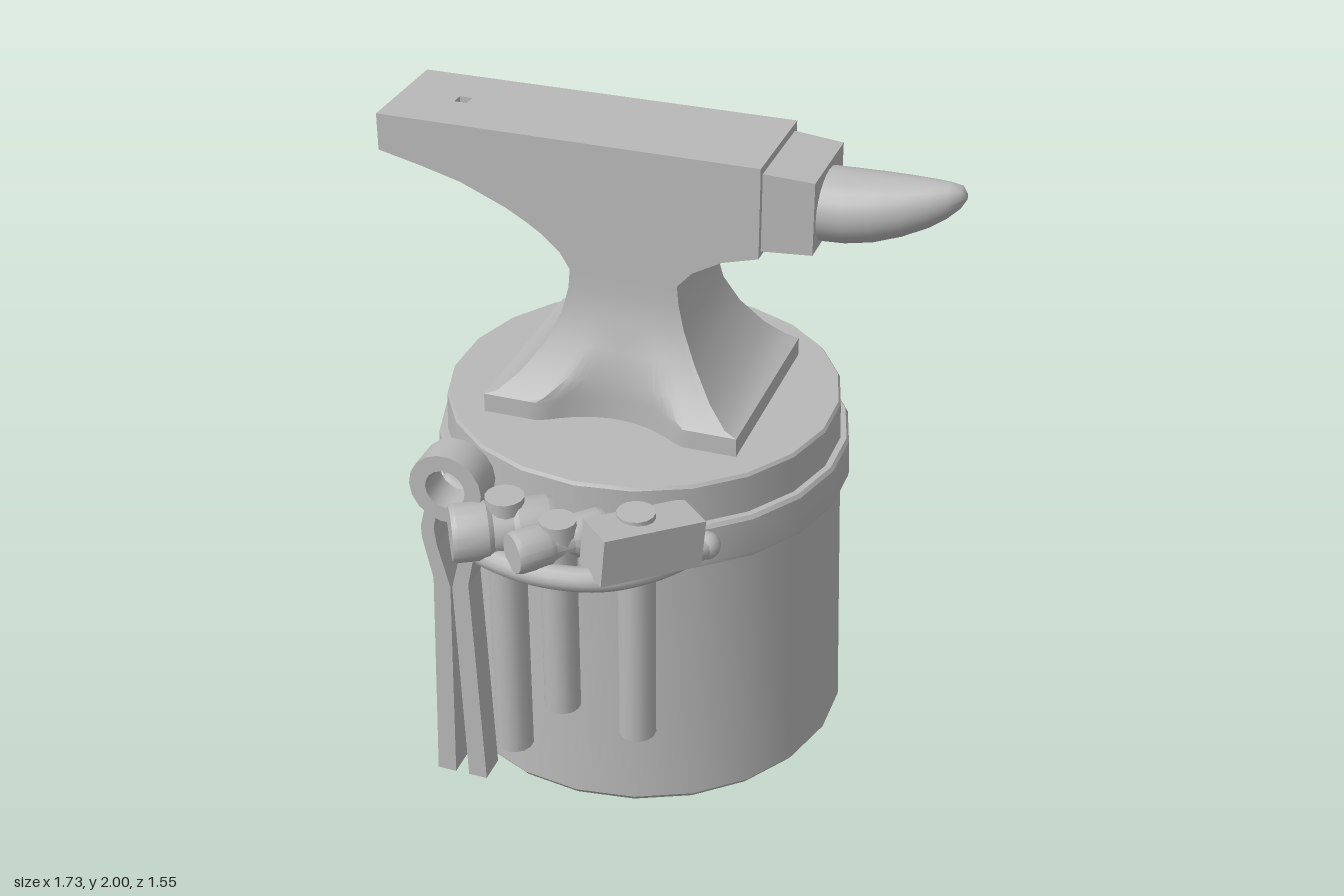
import * as THREE from 'three';
import { toCreasedNormals } from 'three/addons/utils/BufferGeometryUtils.js';

const V = (x, y, z) => new THREE.Vector3(x, y, z);

// Skin over cross-sections (counter-clockwise seen from the end), closed at both ends
function loft(rings, crease = 0.6) {
  const n = rings[0].length, pos = [], idx = [];
  rings.forEach(r => r.forEach(p => pos.push(p.x, p.y, p.z)));
  for (let j = 0; j < rings.length - 1; j++) {
    for (let i = 0; i < n; i++) {
      const a = j * n + i, b = j * n + (i + 1) % n;
      idx.push(a, b, b + n, a, b + n, a + n);
    }
  }
  [0, rings.length - 1].forEach(j => {
    const c = rings[j].reduce((s, p) => s.add(p), V(0, 0, 0)).divideScalar(n);
    const k = pos.length / 3;
    pos.push(c.x, c.y, c.z);
    for (let i = 0; i < n; i++) {
      const a = j * n + i, b = j * n + (i + 1) % n;
      if (j) idx.push(k, a, b); else idx.push(k, b, a);
    }
  });
  const g = new THREE.BufferGeometry();
  g.setAttribute('position', new THREE.Float32BufferAttribute(pos, 3));
  g.setIndex(idx);
  return toCreasedNormals(g, crease);
}

export function createModel() {
  const model = new THREE.Group();
  model.name = 'anvilOnStump';
  const iron = new THREE.MeshStandardMaterial({ color: 0xb8b8b8 });
  iron.name = 'plainGrey';
  const CX = -0.1, CZ = -0.13;

  const add = (name, geo, x = 0, y = 0, z = 0, parent = model) => {
    const m = new THREE.Mesh(geo, iron);
    m.name = name;
    m.position.set(x, y, z);
    parent.add(m);
    return m;
  };
  const lathe = pts => toCreasedNormals(
    new THREE.LatheGeometry(pts.map(p => new THREE.Vector2(...p)), 22), 0.5);

  // Stump and its iron band
  add('stump', lathe([[0, 0], [0.635, 0], [0.65, 0.02], [0.612, 1.13], [0.605, 1.14], [0, 1.14]]), CX, 0, CZ);
  add('stumpBand', lathe([[0.6, 0.87], [0.645, 0.875], [0.648, 0.89], [0.643, 1.0], [0.635, 1.012], [0.6, 1.012], [0.6, 0.87]]), CX, 0, CZ);

  // Anvil foot, waist and underside of the head: y, left x, right x, half depth
  const levels = [
    [1.13, -0.5, 0.3, 0.325], [1.2, -0.5, 0.3, 0.325], [1.215, -0.46, 0.26, 0.313],
    [1.27, -0.4, 0.2, 0.272], [1.36, -0.335, 0.135, 0.22], [1.45, -0.295, 0.09, 0.188],
    [1.53, -0.275, 0.07, 0.18], [1.59, -0.27, 0.065, 0.18], [1.64, -0.3, 0.11, 0.18],
    [1.69, -0.355, 0.2, 0.18], [1.72, -0.4, 0.31, 0.18], [1.76, -0.47, 0.31, 0.18],
    [1.82, -0.61, 0.31, 0.18], [1.855, -0.74, 0.31, 0.18], [1.885, -0.87, 0.31, 0.18]];
  const cols = 24;
  const bodyRings = levels.map(([y, l, r, h]) => {
    const front = [], back = [];
    for (let i = 0; i <= cols; i++) {
      const x = l + (r - l) * i / cols, d = (x - CX) / 0.22;
      // arched recess in the long sides of the foot
      const z = Math.abs(d) < 1 ? Math.min(h, 0.24 + 0.085 * d * d) : h;
      front.push(V(x, y, CZ + z));
      back.unshift(V(x, y, CZ - z));
    }
    return [...front, ...back];
  });
  add('anvilBody', loft(bodyRings));

  // Flat working face with the square hole
  const face = new THREE.Shape([[-0.87, CZ - 0.18], [0.31, CZ - 0.18], [0.31, CZ + 0.18], [-0.87, CZ + 0.18]]
    .map(p => new THREE.Vector2(...p)));
  const q = 0.02, hx = -0.67;
  face.holes.push(new THREE.Path([[hx - q, CZ - q], [hx - q, CZ + q], [hx + q, CZ + q], [hx + q, CZ - q]]
    .map(p => new THREE.Vector2(...p))));
  const faceGeo = new THREE.ExtrudeGeometry(face, { depth: 0.115, bevelEnabled: false });
  faceGeo.rotateX(Math.PI / 2);
  add('anvilFace', faceGeo, 0, 2, 0);

  // Step block between face and horn
  const stepRing = (x, y0, y1, h) =>
    [V(x, y1, CZ - h), V(x, y1, CZ + h), V(x, y0, CZ + h), V(x, y0, CZ - h)];
  add('anvilStep', loft([stepRing(0.3, 1.735, 1.977, 0.16), stepRing(0.46, 1.742, 1.965, 0.15)], 0.1));

  // Horn: x, top y, bottom y, half depth
  const horn = [[0.45, 1.945, 1.735, 0.13], [0.53, 1.948, 1.738, 0.125], [0.61, 1.952, 1.752, 0.113],
    [0.69, 1.955, 1.78, 0.093], [0.76, 1.957, 1.815, 0.068], [0.81, 1.957, 1.85, 0.046],
    [0.845, 1.952, 1.885, 0.026], [0.86, 1.93, 1.912, 0.008]];
  add('horn', loft(horn.map(([x, t, b, h]) => Array.from({ length: 24 }, (_, i) => {
    const a = i / 24 * Math.PI * 2;
    return V(x, (t + b) / 2 + Math.cos(a) * (t - b) / 2, CZ + Math.sin(a) * h);
  })), 1));

  // Bent tool rail with ball ends
  const path = [[-0.55, 0.35], [-0.465, 0.41], [-0.45, 0.52], [-0.36, 0.63], [-0.22, 0.685],
    [-0.08, 0.695], [0.06, 0.66], [0.18, 0.56], [0.28, 0.4]].map(([x, z]) => V(x, 0.955, z));
  add('toolRail', new THREE.TubeGeometry(new THREE.CatmullRomCurve3(path), 48, 0.037, 12));
  [path[0], path[path.length - 1]].forEach(p =>
    add('railEnd', new THREE.SphereGeometry(0.042, 14, 10), p.x, p.y, p.z));

  // Hammers: a round or block head on a hanging handle
  function hammer(name, x, z, bottom, top, r, headGeo, hX, hY, hZ, yaw, tilt = 0) {
    const g = new THREE.Group();
    g.name = name;
    model.add(g);
    add('handle', new THREE.CylinderGeometry(r, r, top - bottom, 14), x, (top + bottom) / 2, z, g);
    const head = add('hammerHead', headGeo, hX, hY, hZ, g);
    head.rotation.set(0, yaw, tilt);
  }
  const roundHead = (r, len) => toCreasedNormals(new THREE.LatheGeometry([
    [0, -len / 2], [r * 0.92, -len / 2], [r, -len / 2 + 0.015], [r, -len * 0.15], [r * 0.88, -len * 0.1],
    [r * 0.88, len * 0.1], [r, len * 0.15], [r, len / 2 - 0.015], [r * 0.92, len / 2], [0, len / 2]]
    .map(p => new THREE.Vector2(...p)), 16), 0.5).rotateZ(-Math.PI / 2);
  hammer('largeHammer', -0.27, 0.59, 0.225, 1.125, 0.058, roundHead(0.088, 0.3), -0.275, 1.02, 0.605, 0.53);
  hammer('smallHammer', -0.095, 0.62, 0.44, 1.1, 0.055, roundHead(0.064, 0.29), -0.095, 1.028, 0.62, 0.83);
  hammer('blockHammer', 0.115, 0.545, 0.335, 1.125, 0.057,
    new THREE.BoxGeometry(0.325, 0.15, 0.135), 0.14, 1.035, 0.56, 0.83, -0.1);

  // Tongs: ring with two bowed legs
  const tongs = new THREE.Group();
  tongs.name = 'tongs';
  tongs.position.set(-0.443, 0, 0.515);
  model.add(tongs);
  const ring = new THREE.Shape().absarc(0, 0, 0.113, 0, Math.PI * 2);
  ring.holes.push(new THREE.Path().absarc(0, 0, 0.062, 0, Math.PI * 2, true));
  add('tongsRing', toCreasedNormals(new THREE.ExtrudeGeometry(ring,
    { depth: 0.105, bevelEnabled: false, curveSegments: 9 }), 0.8), 0, 1.125, 0, tongs);
  const leg = [[0.082, 0.07], [0.056, 0.8], [0.085, 0.94], [0.086, 0.98], [0.07, 1.045],
    [0.035, 1.03], [0.045, 0.98], [0.038, 0.92], [0.003, 0.78], [0.022, 0.07]];
  [-1, 1].forEach(s => add(s < 0 ? 'rightLeg' : 'leftLeg', new THREE.ExtrudeGeometry(
    new THREE.Shape(leg.map(([x, y]) => new THREE.Vector2(s * x, y))),
    { depth: 0.09, bevelEnabled: false }), 0, 0, 0.012, tongs));

  return model;
}
